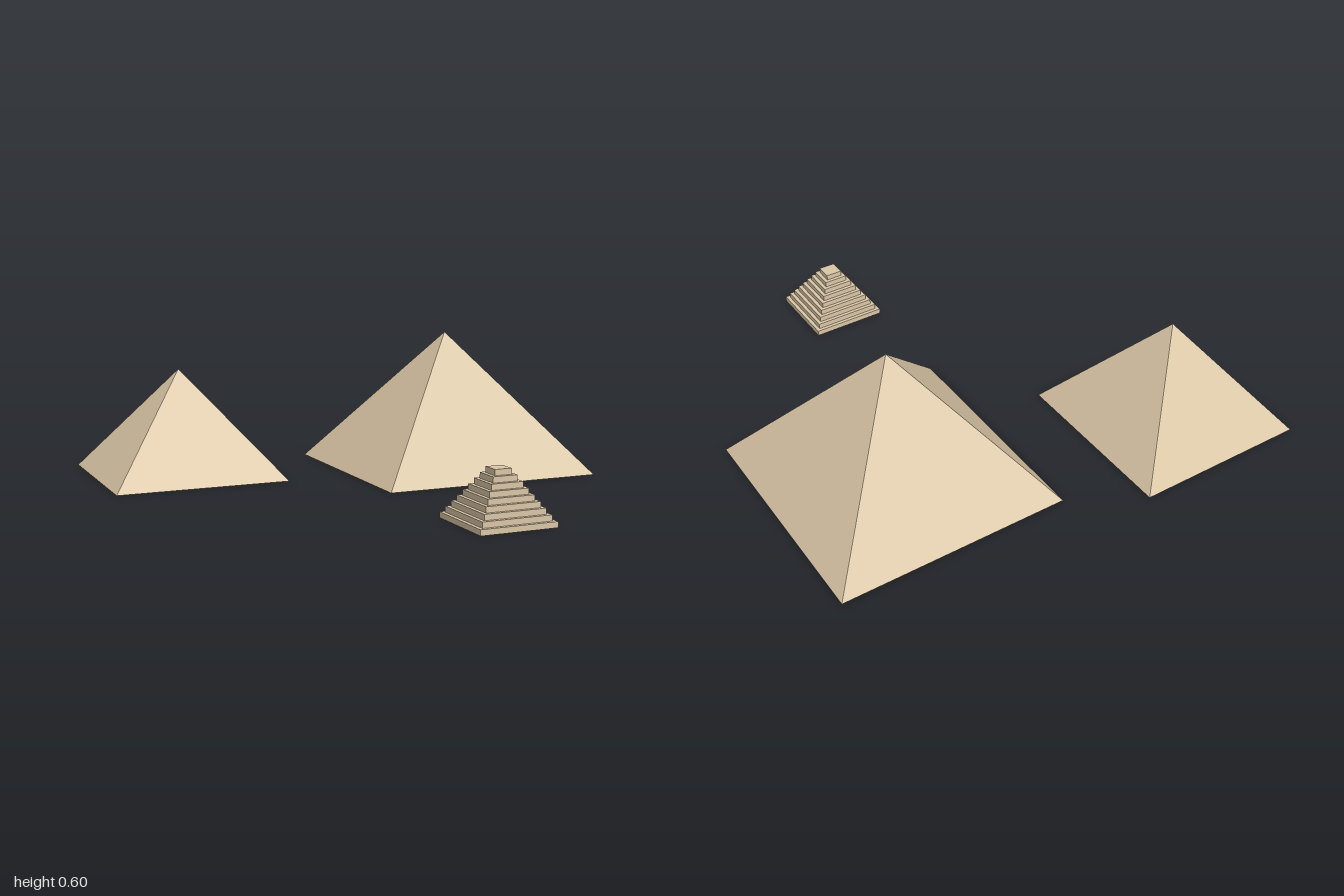
import * as THREE from 'three';

const sandstone = new THREE.MeshStandardMaterial({ color: 0xdac6a6 });
sandstone.name = 'sandstone';

// Smooth-sided square pyramid standing on y = 0
function pyramid(name, x, z, half, height) {
  const geometry = new THREE.ConeGeometry(half * Math.SQRT2, height, 4)
    .rotateY(Math.PI / 4)
    .translate(0, height / 2, 0)
    .toNonIndexed();
  geometry.computeVertexNormals(); // crisp flat faces
  const mesh = new THREE.Mesh(geometry, sandstone);
  mesh.name = name;
  mesh.position.set(x, 0, z);
  return mesh;
}

// Pyramid of stacked square slabs, shrinking evenly towards the top
function steppedPyramid(name, x, z, bottomHalf, topHalf, height, steps) {
  const group = new THREE.Group();
  group.name = name;
  group.position.set(x, 0, z);
  const rise = height / steps;
  for (let i = 0; i < steps; i++) {
    const width = 2 * THREE.MathUtils.lerp(bottomHalf, topHalf, i / (steps - 1));
    const slab = new THREE.Mesh(new THREE.BoxGeometry(width, rise, width), sandstone);
    slab.name = `step${i + 1}`;
    slab.position.y = (i + 0.5) * rise;
    group.add(slab);
  }
  return group;
}

export function createModel() {
  const model = new THREE.Group();
  model.name = 'pyramids';
  model.add(
    pyramid('largePyramid', 0.515, -0.312, 0.485, 0.6),
    pyramid('mediumPyramid', -0.63, -0.596, 0.37, 0.457),
    steppedPyramid('steppedPyramid', 0.168, 0.806, 0.159, 0.035, 0.207, 9),
  );
  return model;
}
